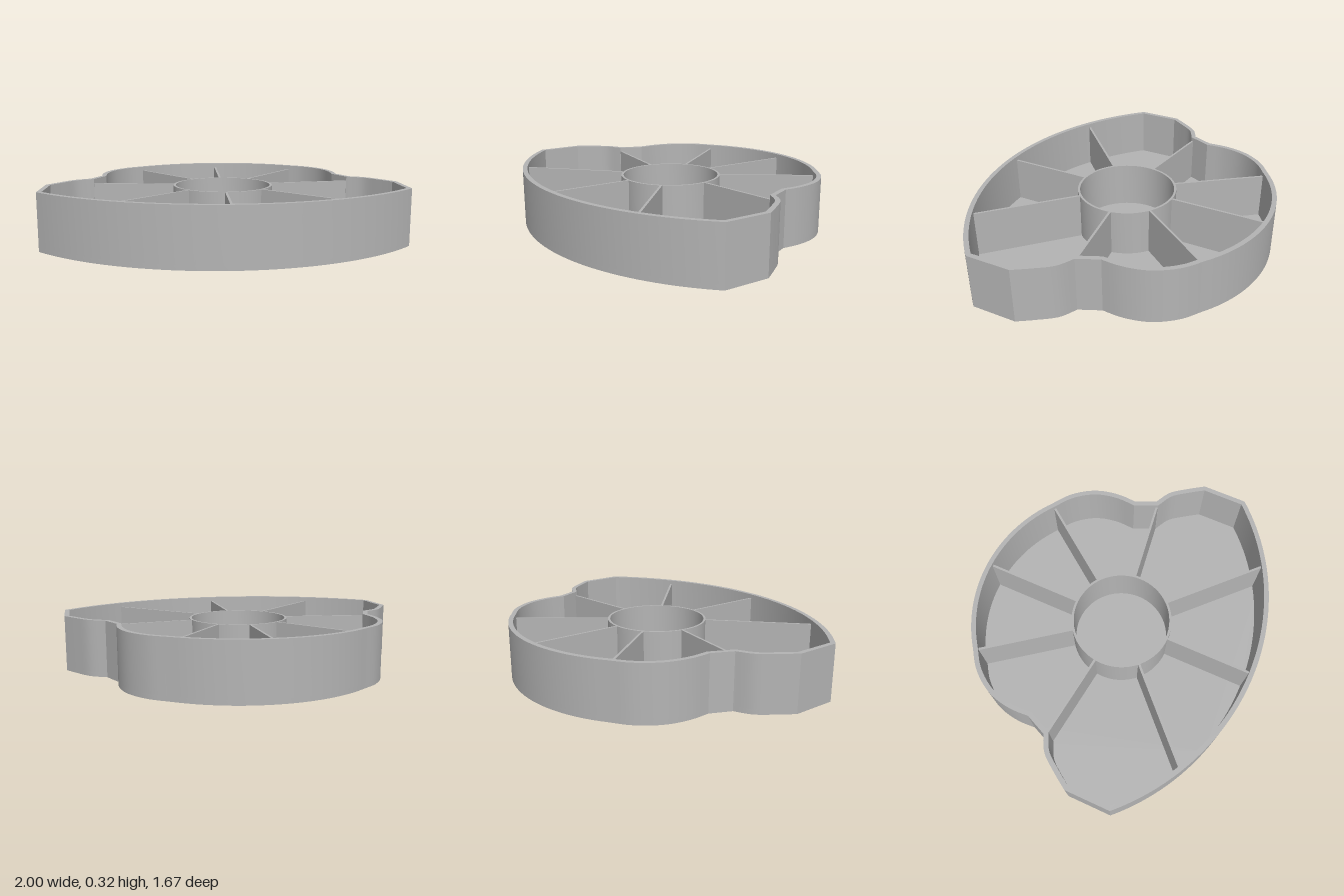
import * as THREE from 'three';
import { toCreasedNormals } from 'three/addons/utils/BufferGeometryUtils.js';

const HEIGHT = 0.32, WALL = 0.027, FLOOR = 0.027, INNER_TOP = 0.295, THIN = 0.013;
const HUB_Z = 0.027, HUB_R = 0.288;
const V = (x, y) => new THREE.Vector2(x, y);

// Circular arc from a point on the centre line (0, y0) out to (x1, y1)
function crownArc(y0, x1, y1, steps) {
  const sag = Math.abs(y1 - y0), r = (x1 * x1 + sag * sag) / (2 * sag);
  const end = Math.asin(x1 / r), dir = Math.sign(y1 - y0);
  return Array.from({ length: steps + 1 }, (_, i) => {
    const a = end * i / steps;
    return V(r * Math.sin(a), y0 + dir * r * (1 - Math.cos(a)));
  });
}

const spline = (pts, steps) =>
  new THREE.SplineCurve(pts.map(p => V(p[0], p[1]))).getPoints(steps);

// Closed plan outline, counter-clockwise, with shape y = -z
function outline() {
  const half = [
    ...crownArc(-0.833, 1, -0.405, 24),
    ...spline([[1, -0.145], [0.94, -0.055], [0.87, 0.035], [0.78, 0.086]], 14),
    ...spline([[0.727, 0.205], [0.731, 0.31], [0.712, 0.42], [0.67, 0.51], [0.6, 0.595], [0.51, 0.66]], 24),
    ...crownArc(0.833, 0.51, 0.66, 16).reverse().slice(1),
  ];
  const mirrored = half.slice(1, -1).reverse().map(p => V(-p.x, p.y));
  return [...half, ...mirrored];
}

// Mitred inward offset of a closed counter-clockwise loop
function inset(loop, d) {
  const n = loop.length;
  return loop.map((p, i) => {
    const a = p.clone().sub(loop[(i + n - 1) % n]).normalize();
    const b = loop[(i + 1) % n].clone().sub(p).normalize();
    const normal = V(-a.y - b.y, a.x + b.x).normalize();
    return p.clone().addScaledVector(normal, d / (normal.y * a.x - normal.x * a.y));
  });
}

// Upright slab from a plan shape
function slab(shape, y0, y1) {
  const geo = new THREE.ExtrudeGeometry(shape, { depth: y1 - y0, bevelEnabled: false });
  geo.rotateX(-Math.PI / 2).translate(0, y0, 0);
  return toCreasedNormals(geo, 0.3);
}

export function createModel() {
  const group = new THREE.Group();
  group.name = 'dividedTray';
  const grey = new THREE.MeshStandardMaterial({ color: 0xb4b4b4 });
  grey.name = 'grey';
  const add = (name, geo) => {
    const mesh = new THREE.Mesh(geo, grey);
    mesh.name = name;
    group.add(mesh);
    return mesh;
  };

  // Base plate and the outer wall standing on it
  const outer = outline();
  add('floor', slab(new THREE.Shape(outer), 0, FLOOR));
  const ring = new THREE.Shape(outer);
  ring.holes.push(new THREE.Path(inset(outer, WALL)));
  add('outerWall', slab(ring, FLOOR, HEIGHT));

  // Round centre compartment, a little lower than the rim
  const profile = [V(HUB_R, 0.02), V(HUB_R, INNER_TOP), V(HUB_R - THIN, INNER_TOP), V(HUB_R - THIN, 0.02)];
  add('centreRing', toCreasedNormals(new THREE.LatheGeometry(profile, 64), 0.5)).position.z = HUB_Z;

  // Radial dividers, given by where they meet the outer wall (x, z)
  const ends = [[0, -0.81], [0, 0.81]];
  for (const s of [-1, 1]) ends.push([s * 0.5, -0.645], [s * 0.758, -0.074], [s * 0.645, 0.652]);
  for (const [x, z] of ends) {
    const dx = x, dz = z - HUB_Z, start = HUB_R - THIN / 2;
    const length = Math.hypot(dx, dz) + 0.006 - start;
    const angle = Math.atan2(dx, dz), mid = start + length / 2;
    const divider = add('divider', new THREE.BoxGeometry(THIN, INNER_TOP - 0.02, length));
    divider.position.set(Math.sin(angle) * mid, (INNER_TOP + 0.02) / 2, HUB_Z + Math.cos(angle) * mid);
    divider.rotation.y = angle;
  }
  return group;
}
